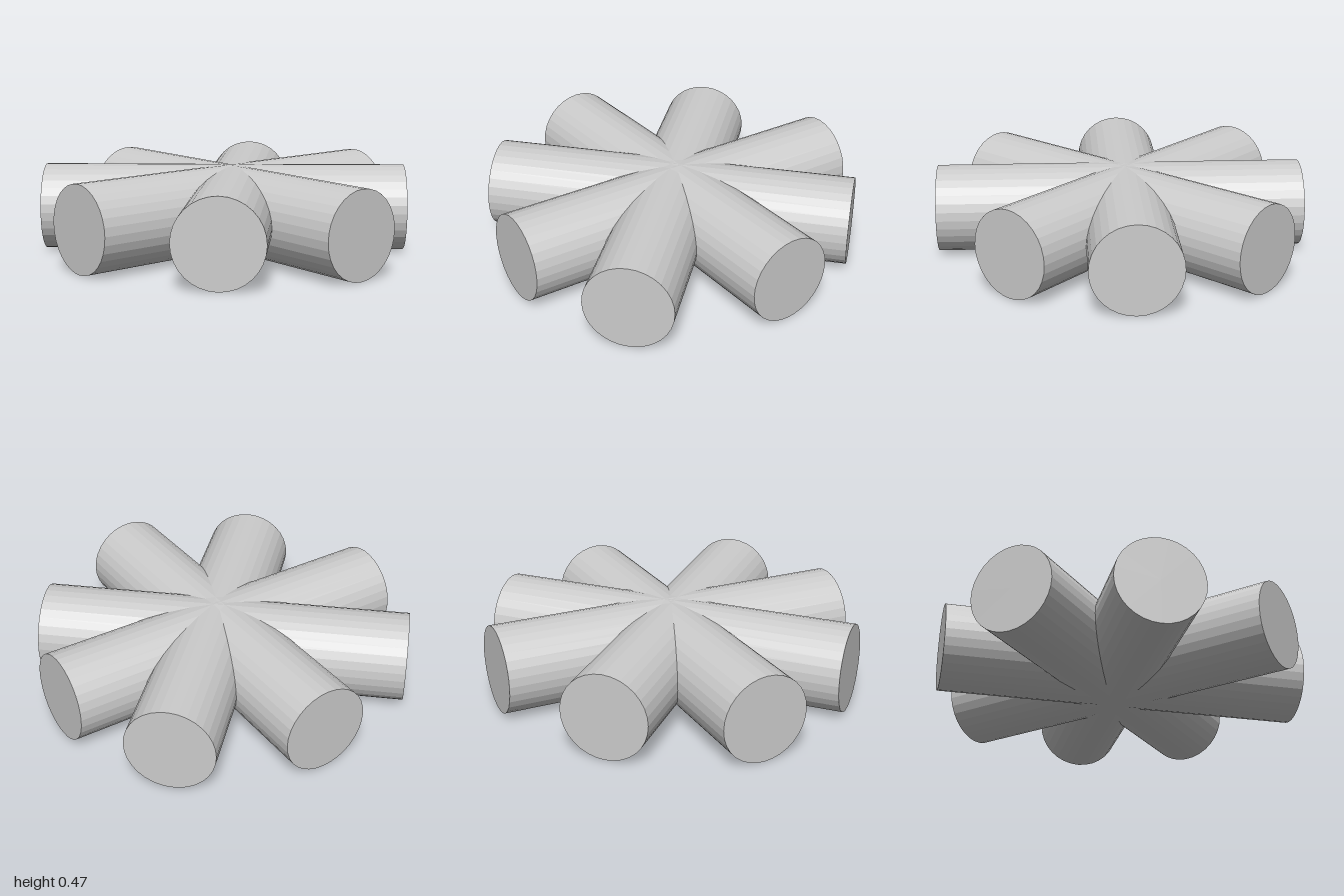
import * as THREE from 'three';

const RADIUS = 0.2375;
const LENGTH = 2;

export function createModel() {
  const group = new THREE.Group();
  group.name = 'crossedCylinders';
  const material = new THREE.MeshStandardMaterial({ color: 0xcccccc, flatShading: true });

  // One cylinder lying along x
  const geometry = new THREE.CylinderGeometry(RADIUS, RADIUS, LENGTH, 32);
  geometry.rotateZ(Math.PI / 2);

  // Name, centre x, centre z, turn about y in degrees
  const bars = [
    ['sidewaysCylinder', 0, -0.033, 0],
    ['lengthwiseCylinder', 0, 0, 90],
    ['backLeftDiagonalCylinder', 0.034, -0.01, 44.7],
    ['frontLeftDiagonalCylinder', 0, -0.07, -41.5],
  ];
  for (const [name, x, z, turn] of bars) {
    const bar = new THREE.Mesh(geometry, material);
    bar.name = name;
    bar.position.set(x, RADIUS, z);
    bar.rotation.y = THREE.MathUtils.degToRad(turn);
    group.add(bar);
  }
  return group;
}
